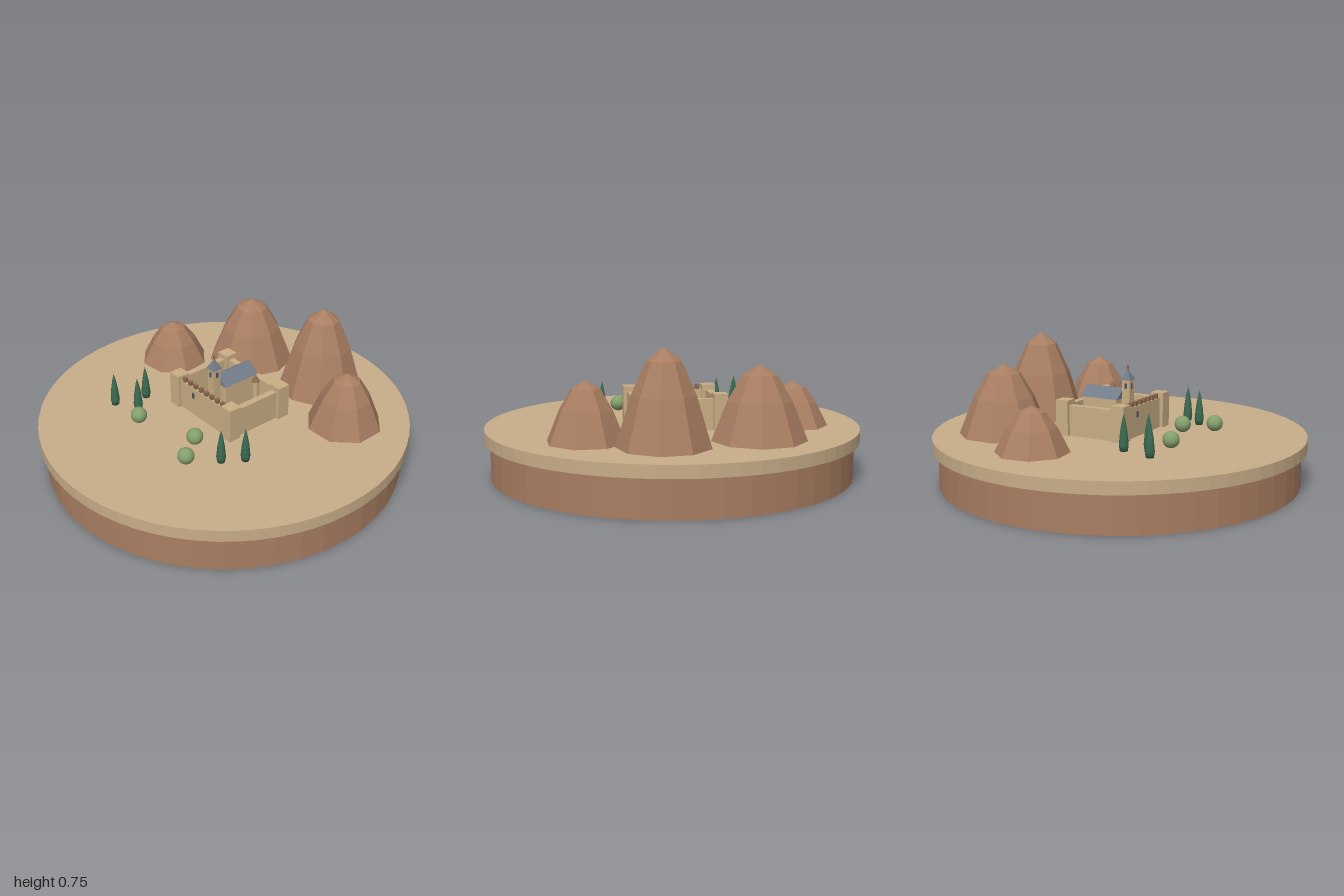
import * as THREE from 'three';

const mat = (name, color, flatShading = false) => {
  const m = new THREE.MeshStandardMaterial({ color, flatShading });
  m.name = name;
  return m;
};

const GROUND = 0.265;

export function createModel() {
  const sand = mat('sand', 0xc8ad88, true);
  const rock = mat('rock', 0xa97e62, true);
  const stone = mat('stone', 0xc9ae84, true);
  const brick = mat('brick', 0x8f684f, true);
  const slate = mat('slate', 0x727b88, true);
  const glass = mat('glass', 0x46536a, true);
  const cypressGreen = mat('cypress green', 0x3b6b52);
  const bushGreen = mat('bush green', 0x84a06c);

  const model = new THREE.Group();
  model.name = 'monasteryIsland';

  const add = (parent, name, geometry, material, x = 0, y = 0, z = 0) => {
    const mesh = new THREE.Mesh(geometry, material);
    mesh.name = name;
    mesh.position.set(x, y, z);
    parent.add(mesh);
    return mesh;
  };
  // Box standing on height y
  const block = (parent, name, material, w, h, d, x, y, z) =>
    add(parent, name, new THREE.BoxGeometry(w, h, d), material, x, y + h / 2, z);
  const lathe = (points, sides, start = 0) =>
    new THREE.LatheGeometry(points.map(([r, y]) => new THREE.Vector2(r, y)), sides, start);

  // Round base: rock plinth under a sandy slab
  add(model, 'plinth', new THREE.CylinderGeometry(0.97, 0.97, 0.2, 48), rock, 0, 0.1, 0);
  add(model, 'ground', new THREE.CylinderGeometry(1, 1, 0.065, 64), sand, 0, 0.2325, 0);

  // Rocky hills: x, z, radius, height, sides, turn in degrees
  const hills = [
    [-0.54, -0.347, 0.19, 0.235, 8, 9],
    [-0.16, -0.595, 0.243, 0.375, 9, 30],
    [0.33, -0.51, 0.238, 0.48, 9, 25],
    [0.61, -0.225, 0.203, 0.305, 8, 4],
  ];
  const hillProfile = [[1, 0], [0.67, 0.53], [0.36, 0.87], [0, 1]];
  for (const [x, z, r, h, sides, turn] of hills) {
    const points = hillProfile.map(([pr, py]) => [pr * r, py * h]);
    add(model, 'hill', lathe(points, sides, THREE.MathUtils.degToRad(turn)), rock, x, GROUND, z);
  }

  // Walled monastery, turned a little from the front
  const castle = new THREE.Group();
  castle.name = 'monastery';
  castle.position.set(0.01, GROUND, -0.036);
  castle.rotation.y = -0.353;
  model.add(castle);
  const W = 0.433, D = 0.337, wallH = 0.163, T = 0.035;
  for (const s of [-1, 1]) {
    block(castle, 'longWall', stone, W, wallH, T, 0, 0, s * D / 2);
    block(castle, 'sideWall', stone, T, wallH, D, s * W / 2, 0, 0);
    for (const t of [-1, 1])
      block(castle, 'cornerTower', stone, 0.073, 0.19, 0.073, s * W / 2, 0, t * D / 2);
  }
  for (let i = 0; i < 8; i++)
    block(castle, 'merlon', brick, 0.022, 0.024, 0.02, -0.158 + i * 0.045, wallH, D / 2 + 0.004);
  block(castle, 'wallWindow', glass, 0.018, 0.032, 0.006, -0.075, 0.103, D / 2 + T / 2);

  // Chapel with a gabled roof
  const chapel = new THREE.Group();
  chapel.name = 'chapel';
  chapel.position.set(-0.015, 0, -0.042);
  castle.add(chapel);
  const gable = (w, eave, ridge, d) => {
    const shape = new THREE.Shape([
      new THREE.Vector2(-w / 2, eave), new THREE.Vector2(w / 2, eave), new THREE.Vector2(0, ridge)]);
    return new THREE.ExtrudeGeometry(shape, { depth: d, bevelEnabled: false }).translate(0, 0, -d / 2);
  };
  block(chapel, 'nave', stone, 0.125, 0.187, 0.205, 0, 0, 0);
  add(chapel, 'naveRoof', gable(0.145, 0.185, 0.24, 0.225), slate);

  // Bell tower with spire and cross
  const bell = new THREE.Group();
  bell.name = 'bellTower';
  bell.position.set(-0.01, 0, 0.093);
  castle.add(bell);
  block(bell, 'belfry', stone, 0.047, 0.287, 0.047, 0, 0, 0);
  const spire = new THREE.ConeGeometry(0.043, 0.058, 4);
  spire.rotateY(Math.PI / 4);
  add(bell, 'spire', spire, slate, 0, 0.314, 0);
  block(bell, 'crossUpright', brick, 0.005, 0.028, 0.005, 0, 0.335, 0);
  block(bell, 'crossArm', brick, 0.018, 0.005, 0.005, 0, 0.35, 0);
  for (let i = 0; i < 4; i++) {
    const a = i * Math.PI / 2;
    const win = block(bell, 'belfryWindow', glass, 0.014, 0.03, 0.004,
      Math.sin(a) * 0.0235, 0.238, Math.cos(a) * 0.0235);
    win.rotation.y = a;
  }

  // Slim round turret in the courtyard
  add(castle, 'turret', new THREE.CylinderGeometry(0.016, 0.016, 0.205, 10), stone, 0.125, 0.1025, -0.08);
  add(castle, 'turretCap', new THREE.ConeGeometry(0.022, 0.042, 10), brick, 0.125, 0.222, -0.08);

  // Cypress trees
  const cypress = lathe([[0, 0], [0.02, 0], [0.025, 0.03], [0.019, 0.095], [0.009, 0.155], [0, 0.192]], 12);
  for (const [x, z] of [[-0.445, 0.095], [-0.415, 0.215], [-0.55, 0.24], [0.22, 0.408], [0.32, 0.335]])
    add(model, 'cypress', cypress, cypressGreen, x, GROUND, z);

  // Round bushes
  const bush = new THREE.SphereGeometry(0.044, 16, 12);
  for (const [x, z] of [[-0.34, 0.318], [0.022, 0.338], [0.072, 0.505]])
    add(model, 'bush', bush, bushGreen, x, GROUND + 0.043, z);

  return model;
}
